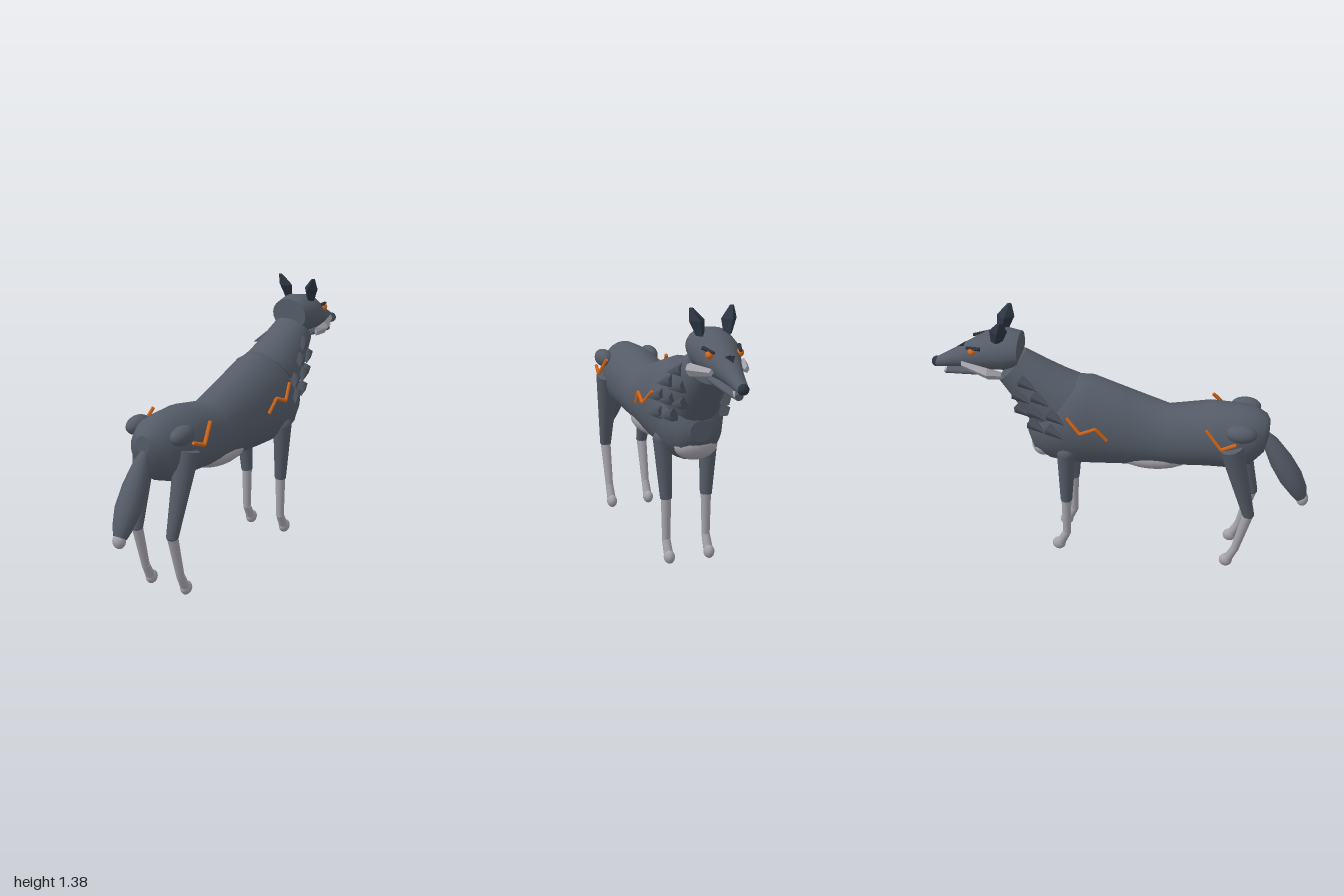
import * as THREE from 'three';

const mat = (name, color) => {
  const m = new THREE.MeshStandardMaterial({ color });
  m.name = name;
  return m;
};
const V = (p) => new THREE.Vector3(...p);

// Skin of elliptical rings [x, y, z, rx, ry, tilt]; tilt leans the ring about x
function loft(rings, n = 20) {
  const pos = [], idx = [];
  const ringPoint = ([x, y, z, rx, ry, t = 0], j) => {
    const a = (j / n) * Math.PI * 2, u = ry * Math.sin(a);
    return [x + rx * Math.cos(a), y + u * Math.cos(t), z + u * Math.sin(t)];
  };
  const first = rings[0], last = rings[rings.length - 1], t0 = first[5] || 0;
  const flip = (last[2] - first[2]) * Math.cos(t0) - (last[1] - first[1]) * Math.sin(t0) < 0;
  const tri = (a, b, c) => (flip ? idx.push(a, c, b) : idx.push(a, b, c));
  rings.forEach((r) => { for (let j = 0; j < n; j++) pos.push(...ringPoint(r, j)); });
  for (let i = 0; i < rings.length - 1; i++) {
    for (let j = 0; j < n; j++) {
      const k = (j + 1) % n, a = i * n, b = a + n;
      tri(a + j, a + k, b + j);
      tri(a + k, b + k, b + j);
    }
  }
  // flat end caps
  [first, last].forEach((r, e) => {
    const c = pos.length / 3;
    pos.push(r[0], r[1], r[2]);
    for (let j = 0; j < n; j++) pos.push(...ringPoint(r, j));
    for (let j = 0; j < n; j++) {
      const p = c + 1 + j, q = c + 1 + ((j + 1) % n);
      e ? tri(c, p, q) : tri(c, q, p);
    }
  });
  const g = new THREE.BufferGeometry();
  g.setAttribute('position', new THREE.Float32BufferAttribute(pos, 3));
  g.setIndex(idx);
  g.computeVertexNormals();
  return g;
}

// Ring from its top and bottom heights
const span = (z, top, bottom, rx) => [0, (top + bottom) / 2, z, rx, (top - bottom) / 2, 0];

export function createModel() {
  const root = new THREE.Group();
  root.name = 'wolf';
  const fur = mat('slate fur', 0x555c68);
  const ruffFur = mat('dark slate ruff', 0x4a505b);
  const pale = mat('pale grey fur', 0xa5a3ab);
  const dark = mat('dark blue grey', 0x2b3542);
  const orange = mat('glowing orange', 0xd9691a);
  const bone = mat('tooth white', 0xd8d6d0);

  const add = (name, geo, material) => {
    const m = new THREE.Mesh(geo, material);
    m.name = name;
    root.add(m);
    return m;
  };
  const ball = (name, p, r, material) => {
    const m = add(name, new THREE.SphereGeometry(1, 18, 12), material);
    m.position.set(...p);
    m.scale.set(...r);
    return m;
  };
  // Tapered bar from a to b
  const bar = (name, a, b, ra, rb, material, sides = 12) => {
    const A = V(a), B = V(b), d = B.clone().sub(A);
    const m = add(name, new THREE.CylinderGeometry(rb, ra, d.length(), sides), material);
    m.position.copy(A).add(B).multiplyScalar(0.5);
    m.quaternion.setFromUnitVectors(new THREE.Vector3(0, 1, 0), d.normalize());
    return m;
  };

  // Torso, rump to chest
  add('body', loft([
    span(0.765, 0.89, 0.80, 0.04), span(0.745, 0.92, 0.71, 0.09), span(0.68, 0.955, 0.635, 0.13),
    span(0.6, 0.96, 0.605, 0.15), span(0.45, 0.96, 0.605, 0.158), span(0.24, 0.92, 0.585, 0.142),
    span(0.04, 0.99, 0.565, 0.155), span(-0.16, 1.06, 0.55, 0.172), span(-0.27, 1.055, 0.547, 0.178),
    span(-0.37, 0.98, 0.565, 0.165), span(-0.45, 0.89, 0.61, 0.125), span(-0.488, 0.8, 0.69, 0.06),
  ], 24), fur);
  add('neck', loft([
    [0, 0.9, -0.33, 0.155, 0.19, 0.64], [0, 0.94, -0.39, 0.15, 0.17, 0.64],
    [0, 1.02, -0.48, 0.13, 0.135, 0.68], [0, 1.1, -0.57, 0.107, 0.107, 0.72],
  ], 24), fur);
  ball('bellyPatch', [0, 0.635, 0.16], [0.122, 0.078, 0.215], pale);
  ball('chestPatch', [0, 0.655, -0.41], [0.115, 0.075, 0.072], pale);

  // Head and muzzle
  add('head', loft([
    span(-0.525, 1.28, 1.11, 0.104), span(-0.6, 1.294, 1.08, 0.119), span(-0.7, 1.272, 1.075, 0.108),
    span(-0.8, 1.21, 1.07, 0.07), span(-0.88, 1.158, 1.063, 0.046), span(-0.975, 1.1, 1.05, 0.028),
  ]), fur);
  add('lowerJaw', loft([
    span(-0.68, 1.075, 1.04, 0.055), span(-0.8, 1.065, 1.025, 0.042), span(-0.93, 1.045, 1.013, 0.022),
  ], 12), fur);
  ball('nose', [0, 1.077, -0.975], [0.028, 0.027, 0.025], dark);
  const mark = add('browMark', new THREE.ConeGeometry(0.03, 0.05, 3), dark);
  mark.scale.z = 0.15;
  mark.position.set(0, 1.186, -0.84);
  mark.rotation.x = -Math.PI / 2 - 0.5;

  // Tail
  add('tail', loft([
    [0, 0.815, 0.735, 0.015, 0.02, 1.0], [0, 0.755, 0.775, 0.042, 0.042, 1.0],
    [0, 0.65, 0.835, 0.062, 0.06, 1.0], [0, 0.55, 0.893, 0.067, 0.062, 1.0],
    [0, 0.47, 0.938, 0.05, 0.048, 1.0], [0, 0.43, 0.955, 0.035, 0.034, 1.0],
  ], 14), fur);
  ball('tailTip', [0, 0.417, 0.962], [0.034, 0.04, 0.032], pale);

  // Ruff spikes [x, y, z] by row
  const spikes = [
    [0.115, 1.06, -0.49], [0.14, 0.99, -0.42], [0.16, 0.9, -0.34],
    [0.12, 0.985, -0.525], [0.145, 0.905, -0.44], [0.165, 0.815, -0.345],
    [0.115, 0.9, -0.515], [0.14, 0.825, -0.445],
  ];

  for (const s of [1, -1]) {
    const side = s > 0 ? 'left' : 'right';
    const at = (x, y, z) => [s * x, y, z];

    // Front leg
    ball(side + 'Shoulder', at(0.125, 0.66, -0.275), [0.05, 0.05, 0.05], fur);
    bar(side + 'FrontUpperLeg', at(0.125, 0.66, -0.275), at(0.11, 0.345, -0.285), 0.05, 0.031, fur);
    bar(side + 'FrontLowerLeg', at(0.11, 0.35, -0.285), at(0.11, 0.115, -0.287), 0.027, 0.021, pale);
    bar(side + 'FrontPastern', at(0.11, 0.125, -0.285), at(0.11, 0.045, -0.325), 0.022, 0.025, pale);
    ball(side + 'FrontPaw', at(0.11, 0.042, -0.332), [0.028, 0.036, 0.036], pale);

    // Hind leg
    ball(side + 'Hip', at(0.135, 0.88, 0.63), [0.046, 0.048, 0.08], fur);
    bar(side + 'HindUpperLeg', at(0.128, 0.79, 0.583), at(0.11, 0.36, 0.69), 0.063, 0.031, fur);
    ball(side + 'Hock', at(0.11, 0.36, 0.69), [0.03, 0.02, 0.03], fur);
    bar(side + 'HindLowerLeg', at(0.11, 0.365, 0.69), at(0.11, 0.115, 0.627), 0.029, 0.021, pale);
    bar(side + 'HindPastern', at(0.11, 0.125, 0.628), at(0.11, 0.045, 0.59), 0.022, 0.025, pale);
    ball(side + 'HindPaw', at(0.11, 0.042, 0.583), [0.028, 0.036, 0.036], pale);

    // Ear: narrow root, wide middle, cut tip
    add(side + 'Ear', loft([
      [s * 0.07, 1.262, -0.63, 0.022, 0.03, 1.57], [s * 0.082, 1.333, -0.615, 0.04, 0.046, 1.57],
      [s * 0.104, 1.39, -0.598, 0.011, 0.012, 1.57],
    ], 4).toNonIndexed(), dark).geometry.computeVertexNormals();

    // Face
    ball(side + 'Eye', at(0.078, 1.197, -0.76), [0.018, 0.02, 0.021], orange);
    bar(side + 'Brow', at(0.092, 1.222, -0.715), at(0.068, 1.212, -0.79), 0.011, 0.008, dark, 5);
    bar(side + 'Fang', at(0.022, 1.06, -0.92), at(0.022, 1.025, -0.925), 0.007, 0.001, bone, 5);
    add(side + 'Cheek', loft([
      [s * 0.125, 1.1, -0.6, 0.008, 0.022, 0], [s * 0.138, 1.112, -0.67, 0.022, 0.033, 0],
      [s * 0.09, 1.127, -0.815, 0.012, 0.018, 0],
    ], 4).toNonIndexed(), pale).geometry.computeVertexNormals();

    // Ruff
    spikes.forEach(([x, y, z]) => bar(side + 'RuffSpike', at(x - 0.01, y + 0.008, z - 0.01),
      at(x + 0.042, y - 0.018, z + 0.075), 0.036, 0.001, ruffFur, 5));

    // Zigzag markings
    const zigzag = (name, pts) => pts.slice(1).forEach((p, i) =>
      bar(side + name, at(...pts[i]), at(...p), 0.01, 0.01, orange, 4));
    zigzag('ShoulderMark', [[0.185, 0.8, -0.05], [0.194, 0.87, -0.107], [0.2, 0.835, -0.187], [0.175, 0.91, -0.26]]);
    zigzag('HipMark', [[0.175, 0.91, 0.455], [0.197, 0.815, 0.535], [0.185, 0.845, 0.61]]);
  }
  return root;
}
